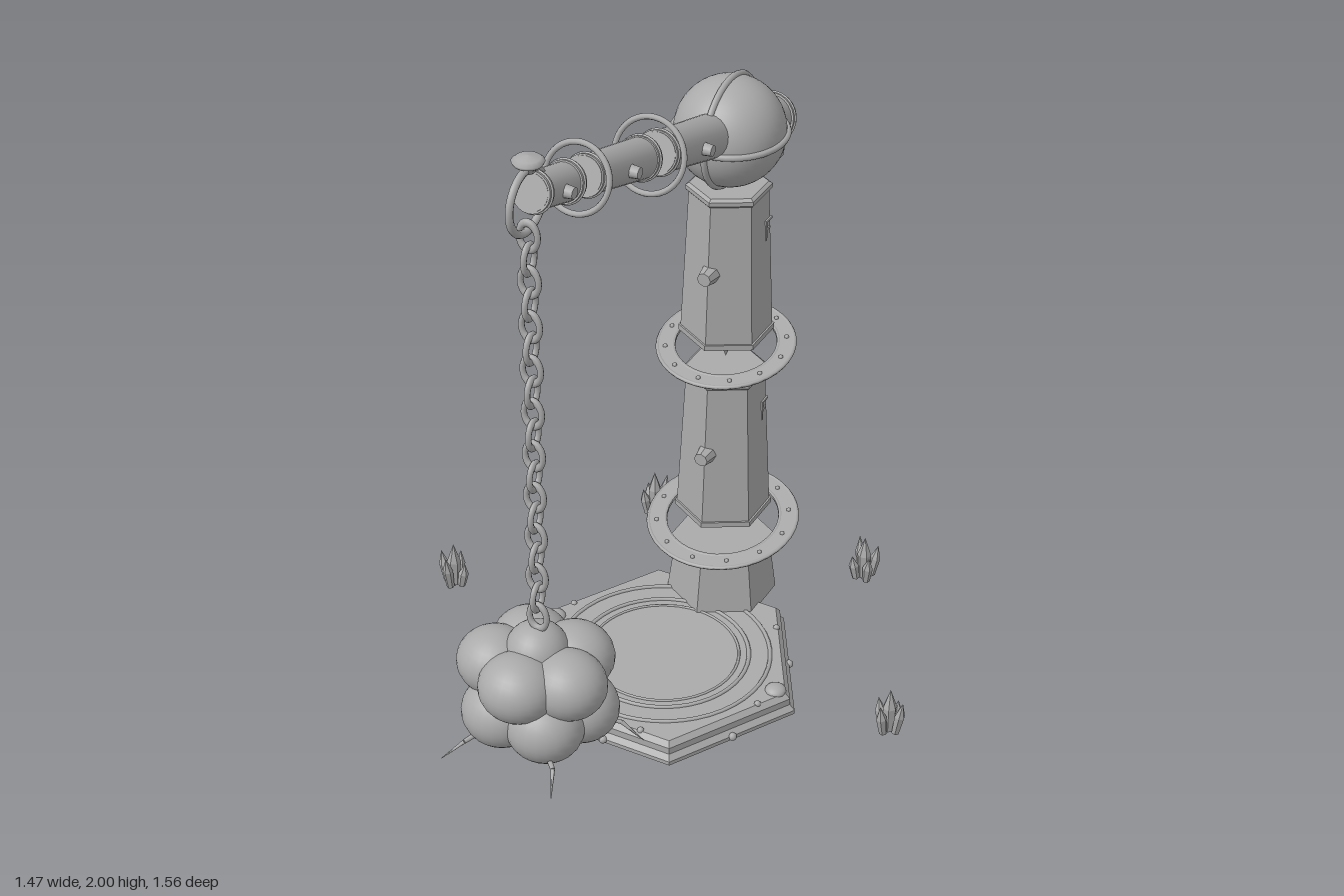
import * as THREE from 'three';

const stone = new THREE.MeshStandardMaterial({ color: 0xaaaaaa });
stone.name = 'grey stone';

function add(parent, name, geo, x = 0, y = 0, z = 0) {
  const m = new THREE.Mesh(geo, stone);
  m.name = name;
  m.position.set(x, y, z);
  parent.add(m);
  return m;
}
function group(parent, name, x = 0, y = 0, z = 0) {
  const g = new THREE.Group();
  g.name = name;
  g.position.set(x, y, z);
  parent.add(g);
  return g;
}
function flat(geo) {
  const g = geo.index ? geo.toNonIndexed() : geo;
  g.computeVertexNormals();
  return g;
}
const lathe = (pts, n) => new THREE.LatheGeometry(pts.map(p => new THREE.Vector2(...p)), n);
const cyl = (rTop, rBottom, h, n = 24) => new THREE.CylinderGeometry(rTop, rBottom, h, n);
const hex = (rTop, rBottom, h) => flat(cyl(rTop, rBottom, h, 6));
const ball = (r, n = 16) => new THREE.SphereGeometry(r, n, Math.ceil(n * 0.7));

// Six-sided base slab with inlaid rings, domes and rivets
function addBase(root) {
  const base = group(root, 'base', 0, 0, -0.125);
  const slab = flat(lathe([[0, 0], [0.4, 0], [0.41, 0.008], [0.41, 0.02], [0.395, 0.035],
    [0.395, 0.055], [0.38, 0.07], [0, 0.07]], 6));
  add(base, 'baseSlab', slab).rotation.y = Math.PI / 2;
  for (const [r, t] of [[0.3, 0.006], [0.24, 0.006], [0.212, 0.004]]) {
    const ring = add(base, 'baseRing', new THREE.TorusGeometry(r, t, 6, 48), 0, 0.07, 0);
    ring.rotation.x = Math.PI / 2;
  }
  for (const s of [-1, 1]) add(base, 'baseDome', ball(0.03), s * 0.35, 0.068, 0).scale.y = 0.6;
  for (let i = 0; i < 6; i++) {
    const a = i * Math.PI / 3;
    add(base, 'baseRivet', ball(0.012, 8), Math.sin(a) * 0.355, 0.018, Math.cos(a) * 0.355);
    const b = a + 0.3;
    add(base, 'topRivet', ball(0.01, 8), Math.sin(b) * 0.34, 0.068, Math.cos(b) * 0.34);
  }
}

// Flat tilted halo with beads
function addHalo(parent, y, outer, inner) {
  const halo = group(parent, 'halo', 0, y, 0);
  halo.rotation.x = THREE.MathUtils.degToRad(8);
  const t = 0.008;
  add(halo, 'haloPlate', flat(lathe([[inner, -t * 0.6], [outer - 0.006, -t * 0.6], [outer, 0],
    [outer - 0.006, t * 0.6], [inner, t * 0.6], [inner, -t * 0.6]], 36)));
  for (const r of [outer - 0.006, inner + 0.005]) {
    add(halo, 'haloRim', new THREE.TorusGeometry(r, 0.006, 6, 40)).rotation.x = Math.PI / 2;
  }
  for (let i = 0; i < 12; i++) {
    const a = i * Math.PI / 6, r = (outer + inner) / 2;
    add(halo, 'haloBead', ball(0.007, 6), Math.sin(a) * r, 0.005, Math.cos(a) * r);
  }
}

// Tapered six-sided column block with caps, a stud and carved marks
function addBlock(parent, y0, y1, r0, r1) {
  const block = group(parent, 'columnBlock');
  const mid = (y0 + y1) / 2;
  add(block, 'blockBody', hex(r1, r0, y1 - y0), 0, mid, 0);
  add(block, 'blockFoot', hex(r0 + 0.005, r0 + 0.005, 0.016), 0, y0 + 0.008, 0);
  add(block, 'blockCap', flat(lathe([[0, 0], [r1 + 0.004, 0], [r1 + 0.01, 0.006],
    [r1 + 0.01, 0.018], [r1, 0.025], [0, 0.025]], 6)), 0, y1 - 0.025, 0);
  const stud = add(block, 'blockStud', flat(cyl(0.02, 0.028, 0.04, 8)), 0, mid, (r0 + r1) / 2 + 0.005);
  stud.rotation.x = Math.PI / 2;
  // carved marks on both flat sides
  const top = mid + (y1 - y0) * 0.23;
  for (const s of [-1, 1]) {
    const x = s * (r1 + (r0 - r1) * 0.27) * 0.866;
    add(block, 'carvedMark', new THREE.BoxGeometry(0.008, 0.06, 0.006), x, top - 0.015, -0.03);
    add(block, 'carvedMark', new THREE.BoxGeometry(0.008, 0.006, 0.035), x, top + 0.012, -0.045);
    add(block, 'carvedMark', new THREE.BoxGeometry(0.008, 0.006, 0.02), x, top - 0.012, -0.04);
  }
}

function addColumn(root) {
  const column = group(root, 'column', 0, 0, -0.484);
  add(column, 'pedestal', hex(0.134, 0.157, 0.18), 0, 0.15, 0);
  add(column, 'pedestalCap', hex(0.148, 0.148, 0.02), 0, 0.24, 0);
  addBlock(column, 0.36, 0.835, 0.132, 0.108);
  addBlock(column, 0.95, 1.41, 0.126, 0.106);
  addHalo(column, 0.312, 0.218, 0.16);
  addHalo(column, 0.902, 0.194, 0.14);
  for (const y of [0.36, 0.95]) {
    add(column, 'spindle', lathe([[0, -0.09], [0.018, -0.045], [0.018, -0.035], [0.01, -0.03],
      [0.012, 0]], 10), 0, y, 0);
  }
}

// Round arm section along local y, with collars and side studs
function addSection(arm, s0, s1, r0, r1, collars) {
  const section = group(arm, 'armSection');
  const mid = (s0 + s1) / 2;
  add(section, 'armTube', cyl(r1, r0, s1 - s0), 0, mid, 0);
  for (const [s, r] of collars) {
    add(section, 'armCollar', cyl(r, r, 0.022), 0, s, 0);
    add(section, 'collarRim', new THREE.TorusGeometry(r, 0.004, 6, 28), 0, s, 0).rotation.x = Math.PI / 2;
  }
  for (const k of [-1, 1]) {
    const stud = add(section, 'armStud', cyl(0.015, 0.018, 0.03, 10), k * (Math.max(r0, r1) + 0.004), mid, 0);
    stud.rotation.z = -k * Math.PI / 2;
  }
}

function addArm(root) {
  const joint = group(root, 'shoulder', 0, 1.565, -0.484);
  add(joint, 'shoulderBall', ball(0.15, 40));
  add(joint, 'levelBand', new THREE.TorusGeometry(0.152, 0.009, 8, 48)).rotation.x = Math.PI / 2;
  add(joint, 'uprightBand', new THREE.TorusGeometry(0.152, 0.009, 8, 48)).rotation.y = Math.PI / 2;
  const arm = group(joint, 'arm');
  arm.rotation.x = THREE.MathUtils.degToRad(72);
  addSection(arm, 0.1, 0.435, 0.06, 0.054, [[0.422, 0.058]]);
  addSection(arm, 0.509, 0.82, 0.054, 0.049, [[0.522, 0.057], [0.807, 0.053]]);
  addSection(arm, 0.9, 1.08, 0.049, 0.046, [[0.912, 0.053], [1.068, 0.051]]);
  addSection(arm, -0.278, -0.1, 0.062, 0.064, [[-0.267, 0.068]]);
  for (const [s, r] of [[0.473, 0.097], [0.854, 0.087]]) {
    add(arm, 'floatingRing', new THREE.TorusGeometry(r, 0.008, 8, 40), 0, s, 0).rotation.x = Math.PI / 2;
  }
  // hanging shard behind the stub
  const shard = flat(lathe([[0, -0.07], [0.03, -0.035], [0.037, 0.02], [0.025, 0.065], [0, 0.075]], 6));
  add(root, 'rearShard', shard, 0, 1.395, -0.747);
  // tip ring and finial
  add(root, 'tipRing', new THREE.TorusGeometry(0.08, 0.01, 8, 40), 0, 1.885, 0.56).rotation.y = Math.PI / 2;
  add(root, 'finial', lathe([[0, 1.955], [0.016, 1.957], [0.018, 1.97], [0.036, 1.978], [0.04, 1.986],
    [0.03, 1.994], [0, 2]], 16), 0, 0, 0.55);
}

// Alternating oval chain links
function addChain(root) {
  const chain = group(root, 'chain', 0, 0, 0.558);
  const geo = new THREE.TorusGeometry(0.025, 0.008, 8, 20);
  for (let i = 0; i < 19; i++) {
    const link = add(chain, 'chainLink', geo, 0, 1.79 - i * 0.062, 0);
    link.scale.y = 1.45;
    link.rotation.y = i % 2 ? Math.PI / 2 : 0;
  }
}

// Lumpy weight with five bent thorns
function addWeight(root) {
  const weight = group(root, 'weight', -0.008, 0.455, 0.553);
  add(weight, 'weightCore', ball(0.15, 24));
  add(weight, 'topLump', ball(0.085, 24), 0, 0.1, 0);
  add(weight, 'bottomLump', ball(0.085, 24), 0, -0.085, 0);
  for (let i = 0; i < 5; i++) {
    const a = i * Math.PI * 0.4, b = a + Math.PI / 5;
    const up = add(weight, 'upperLump', ball(0.1, 24), Math.sin(a) * 0.11, 0.055, Math.cos(a) * 0.1);
    up.scale.set(1.05, 0.9, 1);
    const low = add(weight, 'lowerLump', ball(0.1, 24), Math.sin(b) * 0.11, -0.06, Math.cos(b) * 0.1);
    low.scale.set(1.05, 0.95, 1);
    // thorn: bulb, upper joint, tapered tip
    const thorn = group(weight, 'thorn');
    thorn.rotation.y = b;
    const pts = [[0, -0.1, 0.15], [0.012, -0.112, 0.215], [0, -0.155, 0.275]].map(p => new THREE.Vector3(...p));
    add(thorn, 'thornBulb', ball(0.018, 10), 0, -0.1, 0.172);
    [[0.008, 0.006], [0.006, 0.001]].forEach(([r0, r1], k) => {
      const d = pts[k + 1].clone().sub(pts[k]);
      const seg = add(thorn, 'thornPart', cyl(r1, r0, d.length(), 6));
      seg.position.copy(pts[k]).addScaledVector(d, 0.5);
      seg.quaternion.setFromUnitVectors(new THREE.Vector3(0, 1, 0), d.normalize());
    });
  }
}

// Floating clusters of pointed crystals
function addCrystals(root) {
  const spots = [[-0.69, -0.13], [0.69, -0.13], [-0.345, -0.72], [0.345, -0.72]];
  spots.forEach(([x, z], n) => {
    const cluster = group(root, 'crystalCluster', x, 0.05, z);
    cluster.rotation.y = n * 1.3;
    for (let i = 0; i < 5; i++) {
      const h = i ? 0.075 + 0.012 * i : 0.15, r = i ? 0.015 : 0.02;
      const geo = flat(lathe([[0, 0], [r * 0.75, h * 0.08], [r, h * 0.6], [0, h]], 6));
      const a = i * Math.PI / 2, d = i ? 0.022 : 0;
      const c = add(cluster, 'crystal', geo, Math.sin(a) * d, i ? 0.005 : 0, Math.cos(a) * d);
      if (i) c.rotation.set(Math.cos(a) * 0.18, 0, -Math.sin(a) * 0.18);
    }
  });
}

export function createModel() {
  const root = new THREE.Group();
  root.name = 'chainCrane';
  [addBase, addColumn, addArm, addChain, addWeight, addCrystals].forEach(build => build(root));
  return root;
}
